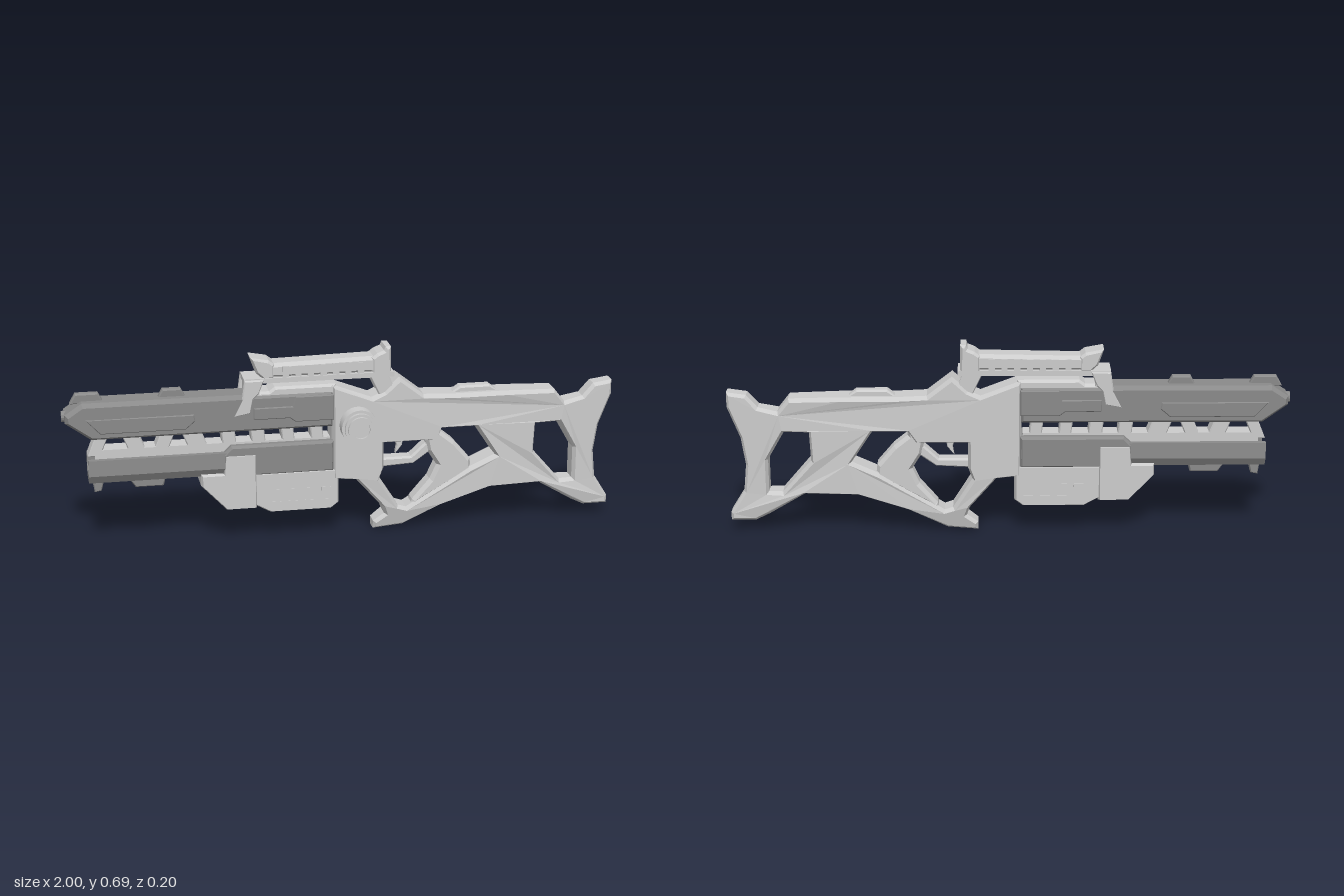
import * as THREE from 'three';

const light = new THREE.MeshStandardMaterial({ color: 0xcccccc, flatShading: true });
const dark = new THREE.MeshStandardMaterial({ color: 0x8a8a8a, flatShading: true });
const smooth = new THREE.MeshStandardMaterial({ color: 0xcccccc });

export function createModel() {
  const model = new THREE.Group();
  model.name = 'rifle';
  const body = new THREE.Group();
  body.name = 'body';
  body.position.z = -0.035;
  model.add(body);

  const add = (name, geo, mat) => {
    const mesh = new THREE.Mesh(geo, mat);
    mesh.name = name;
    body.add(mesh);
    return mesh;
  };
  const vecs = (pts) => pts.map(([x, y]) => new THREE.Vector2(x, y));
  const counterClockwise = (v) => (THREE.ShapeUtils.isClockWise(v) ? v.reverse() : v);

  // Side outline, thickened to +-half in z, with chamfered edges inside the outline
  const plate = (name, pts, half, mat = light, inset = 0.008, chamfer = 0.012, holes = [], z = 0) => {
    const shape = new THREE.Shape(vecs(pts));
    holes.forEach((h) => shape.holes.push(new THREE.Path(counterClockwise(vecs(h)))));
    const depth = 2 * (half - chamfer);
    const geo = new THREE.ExtrudeGeometry(shape, {
      depth, bevelEnabled: true, bevelSegments: 1,
      bevelSize: inset, bevelOffset: -inset, bevelThickness: chamfer,
    });
    geo.translate(0, 0, z - depth / 2);
    return add(name, geo, mat);
  };
  const box = (name, x, y, z, w, h, d, mat = light) =>
    add(name, new THREE.BoxGeometry(w, h, d), mat).position.set(x, y, z);
  const bothSides = (fn) => [1, -1].forEach(fn);

  // Receiver, skeleton stock and butt in one frame
  const frame = plate('receiverAndStock', [
    [-0.045, 0.565], [0.1, 0.51], [0.145, 0.53], [0.2, 0.58], [0.29, 0.51], [0.4, 0.505],
    [0.6, 0.505], [0.78, 0.5], [0.82, 0.45], [0.89, 0.465], [0.93, 0.51], [1, 0.52], [1, 0.465],
    [0.955, 0.35], [0.94, 0.25], [0.95, 0.15], [1, 0.07], [1, 0.04], [0.91, 0.04],
    [0.86, 0.065], [0.73, 0.145], [0.54, 0.14], [0.36, 0.08], [0.22, 0.01], [0.11, 0],
    [0.11, 0.03], [0.15, 0.06], [0.14, 0.09], [0.045, 0.2], [-0.045, 0.21],
  ], 0.065, light, 0.01, 0.025, [
    [[0.145, 0.335], [0.33, 0.335], [0.36, 0.378], [0.485, 0.378], [0.56, 0.265], [0.46, 0.22], [0.23, 0.08], [0.2, 0.09], [0.13, 0.2], [0.145, 0.24]],
    [[0.71, 0.375], [0.8, 0.375], [0.86, 0.27], [0.86, 0.15], [0.81, 0.15], [0.705, 0.27]],
  ]);
  // Slim the butt and the lower foot
  const p = frame.geometry.attributes.position;
  for (let i = 0; i < p.count; i++) {
    const x = p.getX(i), y = p.getY(i);
    const butt = 1 - 0.4 * THREE.MathUtils.smoothstep(x, 0.7, 0.92);
    const foot = x < 0.6 ? THREE.MathUtils.clamp(0.55 + y * 4, 0.55, 1) : 1;
    p.setZ(i, p.getZ(i) * butt * foot);
  }
  frame.geometry.computeVertexNormals();
  plate('cheekRest', [[0.39, 0.495], [0.43, 0.525], [0.54, 0.525], [0.58, 0.495]], 0.025, light, 0.006, 0.01);

  // Pistol grip, trigger and guard inside the frame opening
  plate('grip', [[0.3, 0.34], [0.36, 0.39], [0.36, 0.36], [0.41, 0.32], [0.47, 0.25], [0.475, 0.21], [0.3, 0.11], [0.25, 0.085],
    [0.255, 0.105], [0.32, 0.18], [0.345, 0.235], [0.31, 0.29]], 0.045, light, 0.012, 0.02);
  plate('triggerGuard', [[0.12, 0.27], [0.25, 0.27], [0.31, 0.325], [0.335, 0.295], [0.26, 0.242], [0.12, 0.235]],
    0.03, light, 0.006, 0.01);
  plate('trigger', [[0.19, 0.345], [0.225, 0.345], [0.22, 0.31], [0.195, 0.28], [0.2, 0.31]], 0.012, light, 0.003, 0.004);

  // Upper barrel shroud
  plate('upperShroud', [[-0.99, 0.505], [-0.93, 0.545], [-0.04, 0.545], [-0.04, 0.41], [-0.9, 0.41], [-0.99, 0.475]],
    0.063, dark, 0.012, 0.022);
  const muzzle = new THREE.LatheGeometry(vecs([[0.02, -0.02], [0.02, 0.02], [0.01, 0.02], [0.01, -0.02]]), 12);
  add('muzzle', muzzle.rotateZ(Math.PI / 2), dark).position.set(-0.98, 0.49, 0);
  [[-0.97, -0.85], [-0.665, -0.56]].forEach(([a, b]) =>
    plate('topLug', [[a, 0.535], [a + 0.02, 0.572], [b - 0.02, 0.572], [b, 0.535]], 0.015, dark, 0.005, 0.006));
  plate('topCover', [[-0.36, 0.53], [-0.34, 0.552], [-0.27, 0.552], [-0.25, 0.567], [-0.03, 0.567], [-0.03, 0.53]], 0.05);
  bothSides((s) => {
    plate('shroudPanel', [[-0.92, 0.49], [-0.54, 0.49], [-0.535, 0.465], [-0.57, 0.435], [-0.87, 0.435]],
      0.007, dark, 0.004, 0.005, [], s * 0.06);
    plate('rearPanel', [[-0.33, 0.5], [-0.19, 0.5], [-0.18, 0.535], [-0.04, 0.535], [-0.04, 0.44], [-0.18, 0.44], [-0.2, 0.455], [-0.33, 0.455]],
      0.007, dark, 0.004, 0.005, [], s * 0.06);
  });

  // Ventilated core: bar and slanted posts
  box('coreBar', -0.47, 0.35, 0, 0.84, 0.035, 0.07);
  [[-0.9, 0.045], [-0.78, 0.06], [-0.67, 0.05], [-0.57, 0.07], [-0.44, 0.05], [-0.335, 0.05], [-0.225, 0.045], [-0.12, 0.045]]
    .forEach(([x, w], i) => {
      const lean = i > 3 ? 0.004 : i % 2 ? 0.015 : -0.015;
      plate('corePost', [[x - lean, 0.42], [x + w - lean, 0.42], [x + w + lean, 0.345], [x + lean, 0.345]],
        0.035, light, 0.004, 0.006);
    });

  // Lower channel, U-shaped in section and running along x
  const channel = new THREE.Shape(vecs([
    [-0.06, 0.337], [-0.063, 0.28], [-0.045, 0.25], [0.045, 0.25], [0.063, 0.28], [0.06, 0.337],
    [0.04, 0.337], [0.04, 0.295], [0.025, 0.272], [-0.025, 0.272], [-0.04, 0.295], [-0.04, 0.337],
  ]));
  const rail = new THREE.ExtrudeGeometry(channel, { depth: 0.87, bevelEnabled: false });
  add('lowerChannel', rail.rotateY(Math.PI / 2), dark).position.x = -0.915;
  plate('rearHousing', [[-0.44, 0.33], [-0.41, 0.36], [-0.04, 0.36], [-0.04, 0.245], [-0.44, 0.245]], 0.064, dark);
  plate('frontFoot', [[-0.905, 0.27], [-0.855, 0.27], [-0.87, 0.21], [-0.895, 0.205]], 0.02, dark, 0.004, 0.006);
  plate('bottomLug', [[-0.78, 0.26], [-0.75, 0.218], [-0.65, 0.218], [-0.64, 0.26]], 0.03, dark, 0.005, 0.008);

  // Magazine housing under the channel
  plate('magazineFront', [[-0.52, 0.26], [-0.52, 0.215], [-0.43, 0.12], [-0.32, 0.12], [-0.32, 0.33], [-0.435, 0.33], [-0.44, 0.26]],
    0.067, light, 0.006, 0.02);
  plate('magazine', [[-0.33, 0.255], [-0.02, 0.255], [-0.02, 0.12], [-0.05, 0.097], [-0.27, 0.097], [-0.33, 0.13]],
    0.06, light, 0.008, 0.02);
  bothSides((s) => {
    for (let i = 0; i < 4; i++)
      for (const y of [0.135, 0.18]) box('magazineRib', -0.25 + i * 0.06, y, s * 0.058, 0.035, 0.014, 0.008);
  });

  // Side dial on the front face; each step is its own lathe so the edges stay sharp
  const dial = [[0, 0.02], [0.066, 0.02], [0.066, 0.112], [0.056, 0.112], [0.056, 0.125], [0.046, 0.125],
    [0.046, 0.135], [0.032, 0.135], [0.032, 0.128], [0, 0.128]];
  const knob = new THREE.Group();
  knob.name = 'sideDial';
  knob.position.set(0.045, 0.418, 0);
  body.add(knob);
  dial.slice(1).forEach((b, i) => {
    const ring = new THREE.Mesh(new THREE.LatheGeometry(vecs([dial[i], b]), 32).rotateX(Math.PI / 2), smooth);
    ring.name = 'dialStep';
    knob.add(ring);
  });

  // Sight and its mount
  box('sightRail', -0.09, 0.594, 0, 0.54, 0.018, 0.104);
  plate('sightBody', [[-0.3, 0.66], [-0.26, 0.652], [0.13, 0.66], [0.13, 0.6], [-0.29, 0.6]], 0.046, light, 0.012, 0.016);
  plate('sightFront', [[-0.335, 0.677], [-0.27, 0.665], [-0.25, 0.65], [-0.25, 0.597], [-0.29, 0.597], [-0.315, 0.62]],
    0.05, light, 0.008, 0.014);
  plate('sightRear', [[0.1, 0.655], [0.12, 0.67], [0.145, 0.68], [0.15, 0.694], [0.17, 0.694], [0.172, 0.59], [0.1, 0.59]],
    0.052, light, 0.008, 0.014);
  bothSides((s) => {
    for (let i = 0; i < 7; i++) box('sightRib', -0.21 + i * 0.045, 0.622, s * 0.044, 0.022, 0.042, 0.01);
    plate('frontMount', [[-0.36, 0.6], [-0.29, 0.6], [-0.31, 0.55], [-0.33, 0.53], [-0.34, 0.48], [-0.4, 0.47], [-0.37, 0.53]],
      0.012, light, 0.004, 0.005, [], s * 0.053);
    plate('rearMount', [[0.09, 0.595], [0.16, 0.595], [0.19, 0.52], [0.13, 0.51]], 0.012, light, 0.004, 0.005, [], s * 0.035);
  });
  box('frontMountBridge', -0.33, 0.565, 0, 0.05, 0.05, 0.1);

  return model;
}
